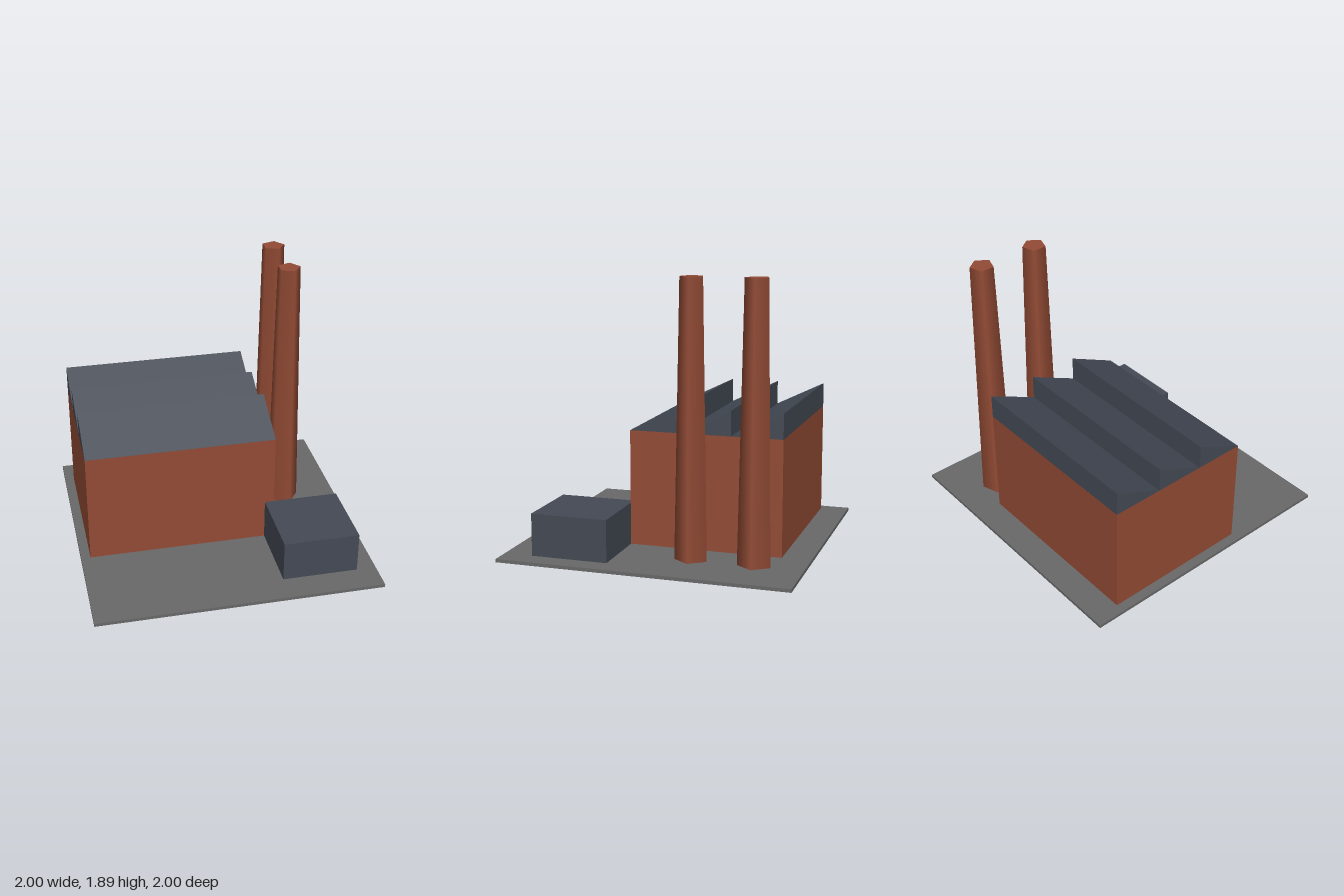
import * as THREE from 'three';

export function createModel() {
  const model = new THREE.Group();
  model.name = 'factory';

  const material = (name, color) => {
    const m = new THREE.MeshStandardMaterial({ color });
    m.name = name;
    return m;
  };
  const brick = material('brick', 0x934b35);
  const slate = material('slate', 0x444a55);
  const concrete = material('concrete', 0x696969);

  const add = (name, geometry, mat) => {
    const mesh = new THREE.Mesh(geometry, mat);
    mesh.name = name;
    model.add(mesh);
    return mesh;
  };
  // Box given by its lower and upper corners
  const box = (name, mat, [x0, y0, z0], [x1, y1, z1]) =>
    add(name, new THREE.BoxGeometry(x1 - x0, y1 - y0, z1 - z0), mat)
      .position.set((x0 + x1) / 2, (y0 + y1) / 2, (z0 + z1) / 2);

  const ground = 0.023, eaves = 0.823, ridge = 0.997;
  const left = -0.933, right = 0.4, front = 0.267, back = -0.8;

  box('groundSlab', concrete, [-1, 0, -1], [1, ground, 1]);
  box('mainHall', brick, [left, ground, back], [right, eaves, front]);
  box('annex', slate, [0.333, ground, 0.267], [0.863, 0.314, 0.8]);

  // Sawtooth roof: slopes rise towards the back and drop vertically
  const bay = (front - back) / 3;
  for (let i = 0; i < 3; i++) {
    const start = -front + i * bay;
    const tooth = new THREE.Shape();
    tooth.moveTo(start, eaves);
    tooth.lineTo(start + bay, eaves);
    tooth.lineTo(start + bay, ridge);
    tooth.closePath();
    const geometry = new THREE.ExtrudeGeometry(tooth, { depth: right - left, bevelEnabled: false });
    geometry.rotateY(Math.PI / 2).translate(left, 0, 0);
    add('roofBay' + (i + 1), geometry, slate);
  }

  // Five-sided tapering chimneys with one corner pointing to +x
  const top = 1.89;
  [-0.238, -0.667].forEach((z, i) => {
    const geometry = new THREE.CylinderGeometry(0.083, 0.118, top - ground, 5, 1, false, Math.PI / 2);
    add('chimney' + (i + 1), geometry, brick).position.set(0.6, (top + ground) / 2, z);
  });

  return model;
}
